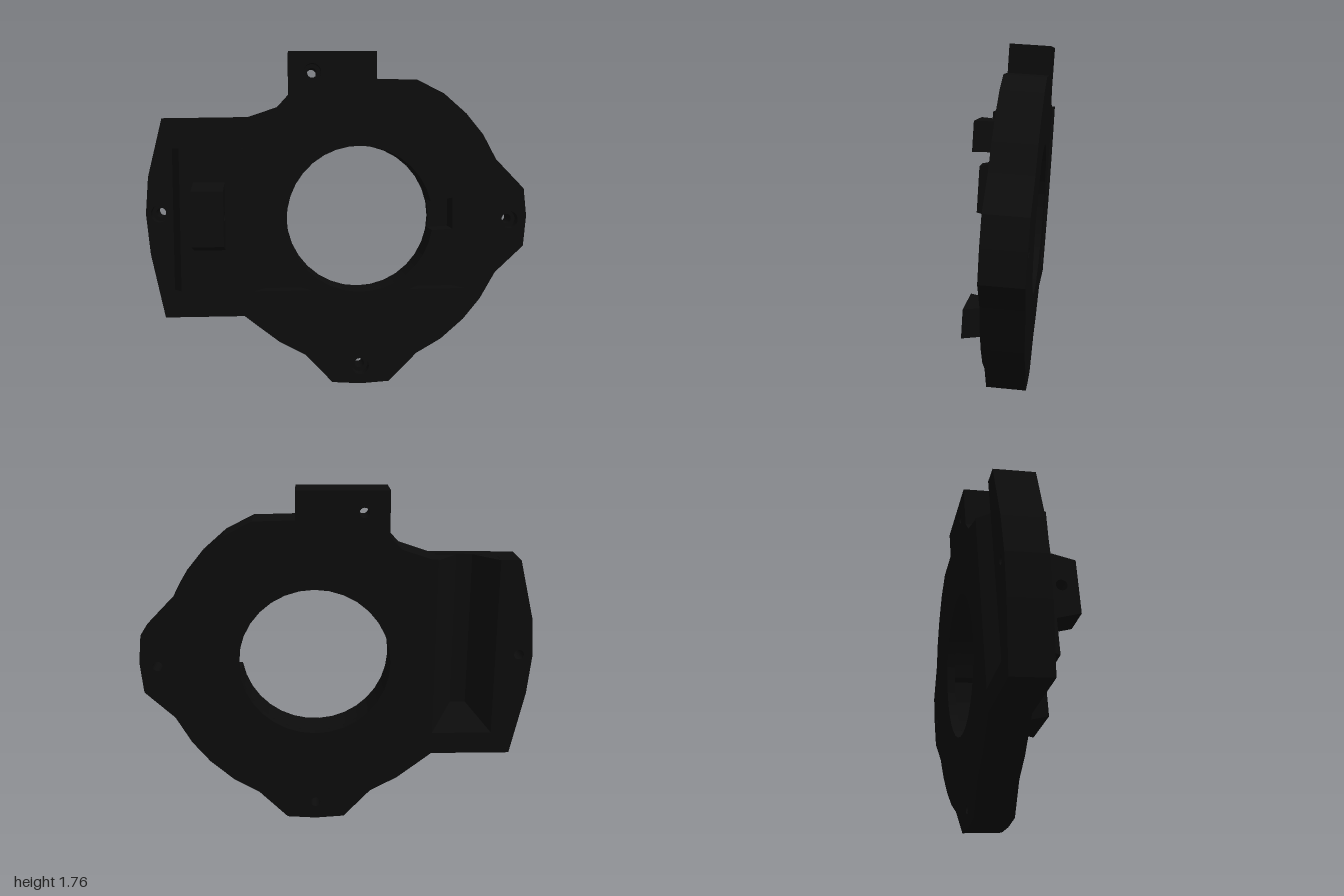
import * as THREE from 'three';

const black = new THREE.MeshStandardMaterial({ color: 0x0c0c0c });
black.name = 'matte black';

const OUTLINE_TOP = [[-0.47, 1.425], [-0.32, 1.475], [-0.26, 1.54], [-0.26, 1.762], [0.2, 1.762], [0.2, 1.62],
  [0.41, 1.615], [0.55, 1.545], [0.67, 1.44], [0.76, 1.33], [0.83, 1.2], [0.98, 1.045], [0.995, 0.9],
  [0.98, 0.74], [0.83, 0.6], [0.75, 0.46], [0.66, 0.35], [0.54, 0.245], [0.41, 0.17], [0.26, 0.02],
  [0.11, 0.01], [-0.04, 0.02], [-0.18, 0.17], [-0.32, 0.245], [-0.43, 0.33], [-0.5, 0.385],
  [-0.91, 0.385], [-0.98, 0.72], [-1, 0.93], [-0.985, 1.12], [-0.91, 1.42]];
const RECESS = [[-0.81, 1.421], [-0.81, 0.5], [-0.5, 0.5], [-0.5, 1.425]];
const SCREWS = [[-0.135, 1.655], [-0.93, 0.93], [0.905, 0.88], [0.11, 0.105]];
const BACK = -0.12, FLOOR = 0.02, FRONT = 0.085;

const toShape = pts => new THREE.Shape(pts.map(p => new THREE.Vector2(p[0], p[1])));

function part(name, geometry) {
  const mesh = new THREE.Mesh(geometry, black);
  mesh.name = name;
  return mesh;
}

function extrude(shape, from, to, segments = 16) {
  const g = new THREE.ExtrudeGeometry(shape, { depth: to - from, bevelEnabled: false, curveSegments: segments });
  return g.translate(0, 0, from);
}

// Prism of an (x, z) section running along y
const alongY = (pts, y0, y1) =>
  extrude(toShape(pts.map(([x, z]) => [x, -z])), y0, y1).rotateX(-Math.PI / 2);

// Prism of a (z, y) section running along x
function alongX(pts, x0, x1, hole) {
  const shape = toShape(pts.map(([z, y]) => [-z, y]));
  if (hole) shape.holes.push(new THREE.Path().absarc(-hole[0], hole[1], hole[2], 0, Math.PI * 2));
  return extrude(shape, x0, x1).rotateY(Math.PI / 2);
}

// One slice of the plate, with central opening and screw holes
function plateLayer(from, to, { recess, notch, screwRadius }) {
  const shape = toShape(recess ? [...OUTLINE_TOP, ...RECESS] : OUTLINE_TOP);
  const opening = new THREE.Path();
  if (notch) {
    opening.absarc(0.11, 0.89, 0.385, 0.24, Math.PI * 2 - 0.16);
    opening.lineTo(0.6, 0.835);
    opening.lineTo(0.6, 1.0);
    opening.closePath();
  } else {
    opening.absarc(0.11, 0.89, 0.385, 0, Math.PI * 2);
  }
  shape.holes.push(opening);
  for (const [x, y] of SCREWS) {
    shape.holes.push(new THREE.Path().absarc(x, y, screwRadius, 0, Math.PI * 2));
  }
  return extrude(shape, from, to);
}

export function createModel() {
  const model = new THREE.Group();
  model.name = 'mountingPlate';
  const body = new THREE.Group();
  body.name = 'tiltedBody';
  body.rotation.x = -0.066;
  model.add(body);

  // Plate in three slices: recessed back, notched middle, countersunk front
  body.add(
    part('plateBack', plateLayer(BACK, -0.075, { recess: true, notch: false, screwRadius: 0.025 })),
    part('plateMiddle', plateLayer(-0.075, FLOOR, { recess: true, notch: true, screwRadius: 0.025 })),
    part('plateFront', plateLayer(FLOOR, FRONT, { recess: false, notch: true, screwRadius: 0.045 })));

  // Sloping walls of the back recess
  body.add(
    part('recessOuterSlope', alongY([[-0.81, BACK], [-0.81, FLOOR], [-0.69, FLOOR]], 0.5, 1.42)),
    part('recessInnerSlope', alongY([[-0.5, BACK], [-0.5, FLOOR], [-0.61, FLOOR]], 0.5, 1.42)),
    part('recessLowerSlope', alongX([[BACK, 0.5], [FLOOR, 0.62], [FLOOR, 0.5]], -0.81, -0.5)));

  // Raised panel on the front with its drilled lug
  body.add(
    part('raisedPanel', alongY([[-0.86, FRONT], [-0.82, 0.143], [-0.52, 0.143], [-0.49, FRONT]], 0.532, 1.265)),
    part('lug', alongX([[0.143, 0.743], [0.287, 0.777], [0.287, 1.055], [0.143, 1.093]],
      -0.75, -0.59, [0.206, 0.92, 0.028])));

  // Four dovetail pads around the opening
  for (const x of [-0.297, 0.505]) {
    for (const y of [0.393, 1.265]) {
      const section = [[x - 0.09, FRONT], [x - 0.147, 0.181], [x + 0.147, 0.181], [x + 0.09, FRONT]];
      body.add(part('dovetailPad', alongY(section, y, y + 0.14)));
    }
  }
  return model;
}
